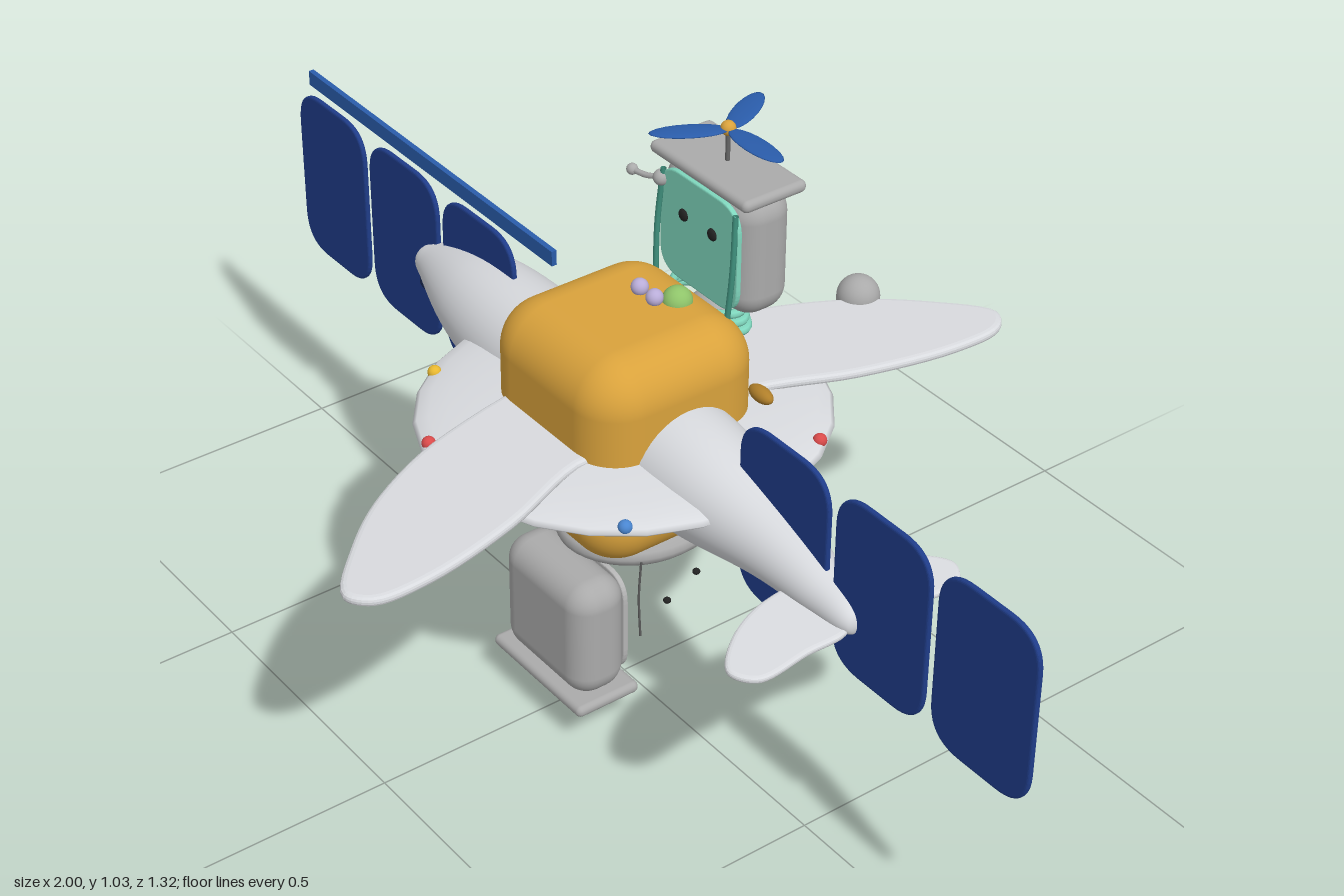
import * as THREE from 'three';
import { RoundedBoxGeometry } from 'three/addons/geometries/RoundedBoxGeometry.js';

const mats = {};
const mat = (c = 0xcccccc) => (mats[c] ??= new THREE.MeshStandardMaterial({ color: c, side: THREE.DoubleSide }));
const GOLD = 0xd9a23c, BLUE = 0x1f3c88, BAR = 0x2a5caa, TEAL = 0x7fd6bd, DARKTEAL = 0x3f8f7c,
  DARK = 0x222222, RED = 0xd94a4a, GREY = 0xaaaaaa, PALE = 0xd8dade;
const V = (x, y, z) => new THREE.Vector3(x, y, z);

function add(parent, name, geo, color, x = 0, y = 0, z = 0) {
  const m = new THREE.Mesh(geo, mat(color));
  m.name = name;
  m.position.set(x, y, z);
  parent.add(m);
  return m;
}
function ball(parent, name, color, r, x, y, z, sx = 1, sy = 1, sz = 1) {
  const m = add(parent, name, new THREE.SphereGeometry(r, 24, 16), color, x, y, z);
  m.scale.set(sx, sy, sz);
  return m;
}
function tube(parent, name, color, r, pts) {
  const curve = new THREE.CatmullRomCurve3(pts.map(p => V(...p)));
  return add(parent, name, new THREE.TubeGeometry(curve, pts.length * 8, r, 8), color);
}
function roundRect(w, h, r) {
  const s = new THREE.Shape(), a = w / 2, b = h / 2;
  s.moveTo(-a + r, -b);
  s.lineTo(a - r, -b); s.quadraticCurveTo(a, -b, a, -b + r);
  s.lineTo(a, b - r); s.quadraticCurveTo(a, b, a - r, b);
  s.lineTo(-a + r, b); s.quadraticCurveTo(-a, b, -a, b - r);
  s.lineTo(-a, -b + r); s.quadraticCurveTo(-a, -b, -a + r, -b);
  return s;
}
// Flat plate from a shape, centred on its thickness
function plate(shape, t, bevel) {
  const g = new THREE.ExtrudeGeometry(shape, {
    depth: t, bevelThickness: bevel, bevelSize: bevel * 1.5, bevelOffset: -bevel * 1.5, bevelSegments: 3, curveSegments: 10 });
  return g.translate(0, 0, -t / 2);
}
// Fin lying flat: outline in x and z
function fin(pts, t, bevel) {
  const curve = new THREE.CatmullRomCurve3(pts.map(p => V(p[0], p[1], 0)), true);
  const shape = new THREE.Shape(curve.getPoints(60).map(p => new THREE.Vector2(p.x, p.y)));
  return plate(shape, t, bevel).rotateX(Math.PI / 2);
}

// Box-headed robot: cap and mast up, face towards +z
function robot(name, faceColor) {
  const g = new THREE.Group();
  g.name = name;
  add(g, 'head', new RoundedBoxGeometry(0.236, 0.228, 0.108, 5, 0.045), GREY);
  add(g, 'cap', new RoundedBoxGeometry(0.256, 0.022, 0.128, 4, 0.0105), GREY, 0, 0.118, 0);
  add(g, 'mast', new THREE.CylinderGeometry(0.004, 0.004, 0.07, 10), 0x666666, 0, 0.16, 0);
  add(g, 'face', plate(roundRect(0.205, 0.2, 0.05), 0.006, 0.002), faceColor, 0, 0, 0.053);
  for (const s of [-1, 1]) ball(g, 'eye', DARK, 0.011, s * 0.038, 0.028, 0.059, 1, 1, 0.5);
  tube(g, 'antennaArm', GREY, 0.005, [[-0.1, 0.07, 0.055], [-0.13, 0.062, 0.065], [-0.16, 0.06, 0.07]]);
  ball(g, 'antennaJoint', GREY, 0.014, -0.1, 0.07, 0.058);
  ball(g, 'antennaTip', GREY, 0.01, -0.163, 0.06, 0.07);
  return g;
}

export function createModel() {
  const model = new THREE.Group();

  // Central body
  add(model, 'body', new RoundedBoxGeometry(0.346, 0.395, 0.334, 8, 0.085), GOLD, 0, 0.557, 0);

  // Saucer with rim lights
  ball(model, 'saucer', PALE, 1, 0, 0.555, 0, 0.345, 0.035, 0.352);
  const lights = [RED, 0xe8b830, 0x4a86d0];
  for (let i = 0; i < 10; i++) {
    const a = (108 + i * 36) * Math.PI / 180;
    ball(model, 'rimLight', lights[i % 3], 0.012, 0.332 * Math.cos(a), 0.563, 0.335 * Math.sin(a));
  }

  // Fuselage: x, centre height, radius
  const stations = [[-0.6, 0.555, 0], [-0.595, 0.555, 0.02], [-0.55, 0.562, 0.042], [-0.41, 0.558, 0.088],
    [-0.2, 0.542, 0.109], [0.1, 0.542, 0.109], [0.25, 0.542, 0.098], [0.4, 0.53, 0.067], [0.53, 0.506, 0.042],
    [0.6, 0.492, 0.022], [0.61, 0.49, 0]];
  const spine = new THREE.CatmullRomCurve3(stations.map(s => V(...s)), false, 'centripetal').getPoints(70);
  const hull = new THREE.LatheGeometry(spine.map(p => new THREE.Vector2(Math.max(0, p.z), p.x)), 40);
  hull.rotateZ(-Math.PI / 2);
  const pos = hull.attributes.position;
  for (let i = 0; i < pos.count; i++) pos.setY(i, pos.getY(i) + spine[i % spine.length].y);
  add(model, 'fuselage', hull, PALE);
  for (const s of [-1, 1]) ball(model, 'fuselageEye', 0x1c2c55, 0.016, -0.545, 0.535, s * 0.026, 1.4, 1, 0.8);

  // Wings and tail flukes, mirrored across z
  const wing = [[-0.1, 0.05], [-0.08, 0.3], [0, 0.48], [0.09, 0.59], [0.18, 0.66], [0.22, 0.63], [0.225, 0.53],
    [0.185, 0.35], [0.12, 0.18], [0.12, 0.05]];
  const fluke = [[0.48, 0.01], [0.475, 0.08], [0.51, 0.17], [0.57, 0.228], [0.61, 0.2], [0.605, 0.1], [0.595, 0.01]];
  for (const s of [-1, 1]) {
    const side = pts => pts.map(([x, z]) => [x, s * z]);
    add(model, 'wing', fin(side(wing), 0.004, 0.007), PALE, 0, 0.583, 0);
    const f = add(model, 'tailFluke', fin(side(fluke), 0.003, 0.005), PALE, 0, 0.485, 0);
    f.geometry.translate(-0.54, 0, 0).rotateZ(-0.1).translate(0.54, 0, 0);
  }

  // Solar panels with thin seams at the back
  const panel = plate(roundRect(0.218, 0.33, 0.07), 0.004, 0.003);
  for (const s of [-1, 1]) for (const x of [0.42, 0.655, 0.89]) {
    add(model, 'solarPanel', panel, BLUE, s * x, 0.555, 0);
    add(model, 'panelSeam', new THREE.BoxGeometry(0.003, 0.32, 0.002), 0x16264f, s * x, 0.555, -0.005);
    add(model, 'panelSeam', new THREE.BoxGeometry(0.21, 0.003, 0.002), 0x16264f, s * x, 0.555, -0.005);
  }
  const bar = add(model, 'panelBar', new THREE.BoxGeometry(0.76, 0.028, 0.01), BAR, -0.575, 0.754, 0);
  bar.rotation.z = -0.008;

  // Upper robot with propeller
  const top = robot('upperRobot', TEAL);
  top.position.set(0, 0.83, -0.207);
  model.add(top);
  ball(top, 'propellerHub', GOLD, 0.013, 0, 0.188, 0);
  for (let i = 0; i < 3; i++) {
    const blade = add(top, 'propellerBlade', new THREE.SphereGeometry(1, 20, 10).translate(1, 0, 0), BAR, 0.005, 0.188, 0);
    blade.scale.set(0.066, 0.004, 0.022);
    blade.rotation.set(0, i * Math.PI * 2 / 3, 0);
  }

  // Coiled neck and cords
  for (let i = 0; i < 3; i++) {
    const coil = add(model, 'neckCoil', new THREE.TorusGeometry(0.07, 0.008, 8, 32).rotateX(Math.PI / 2), TEAL,
      0, 0.693 + i * 0.013, -0.172);
    coil.scale.set(1.3 - i * 0.1, 1, 0.62);
  }
  ball(model, 'neckBase', GREY, 0.03, 0, 0.69, -0.175, 1.4, 0.8, 0.8);
  for (const s of [-1, 1])
    tube(model, 'neckCord', DARKTEAL, 0.005, [[s * 0.095, 0.92, -0.15], [s * 0.1, 0.82, -0.142], [s * 0.095, 0.71, -0.135]]);

  // Lower robot hangs upside down and faces back
  const low = robot('lowerRobot', 0xb4b4b4);
  low.position.set(0, 0.194, 0.125);
  low.rotation.x = Math.PI;
  model.add(low);
  tube(low, 'mouth', DARK, 0.004, [[-0.035, -0.03, 0.06], [0, -0.05, 0.06], [0.035, -0.03, 0.06]]);
  for (const s of [-1, 1])
    tube(low, 'brow', DARK, 0.005, [[s * 0.02, 0.052, 0.059], [s * 0.04, 0.064, 0.06], [s * 0.06, 0.055, 0.059]]);
  ball(low, 'antennaKnob', 0x9a6a3a, 0.012, -0.163, 0.06, 0.07);

  // Plate under the body with lens and hanging cords
  const rim = [[0, -0.02], [0.1, -0.022], [0.135, -0.02], [0.147, -0.01], [0.15, 0], [0.147, 0.012], [0.135, 0.022],
    [0.1, 0.025], [0, 0.025]];
  const dish = add(model, 'lowerDish', new THREE.LatheGeometry(rim.map(p => new THREE.Vector2(...p)), 40), GREY, 0, 0.331, -0.03);
  dish.scale.x = 0.87;
  const ring = add(model, 'dishRing', new THREE.TorusGeometry(0.085, 0.005, 8, 36).rotateX(Math.PI / 2), 0x5f86a0, 0, 0.31, -0.03);
  ring.scale.x = 0.87;
  ball(model, 'lens', 0xb9ccd6, 0.037, 0, 0.298, 0);
  for (const s of [-1, 1])
    tube(model, 'hangingCord', 0x555555, 0.002, [[s * 0.115, 0.33, 0.05], [s * 0.125, 0.27, 0.062], [s * 0.14, 0.2, 0.07]]);

  // Trinkets on the roof
  ball(model, 'greenBead', 0x8fc46a, 0.026, 0.03, 0.752, -0.085);
  for (const x of [-0.025, 0.015]) ball(model, 'lilacBead', 0xb9add8, 0.015, x, 0.764, -0.05);

  // Back ornaments: scrolls, knob and a hanging red ball
  for (const [x, y, s] of [[-0.07, 0.48, 1], [0.05, 0.47, -1], [0, 0.6, 1]]) {
    const pts = [];
    for (let i = 0; i <= 9; i++) {
      const a = i * 0.75, r = 0.038 - i * 0.0032;
      pts.push([x + s * r * Math.cos(a), y + r * Math.sin(a), -0.168]);
    }
    tube(model, 'backScroll', GOLD, 0.008, pts);
  }
  ball(model, 'sideKnob', 0xb07f2a, 0.014, 0.15, 0.6, -0.168, 2, 1, 1);
  tube(model, 'ballCord', GOLD, 0.006, [[0.13, 0.48, -0.155], [0.145, 0.44, -0.168], [0.146, 0.39, -0.165]]);
  ball(model, 'redBall', RED, 0.014, 0.146, 0.382, -0.165);

  // Floating pieces behind the body
  add(model, 'floatingCapsule', new THREE.CapsuleGeometry(0.038, 0.066, 10, 28), GREY, 0, 0.555, -0.502);
  tube(model, 'floatingStick', 0x777777, 0.003, [[0, 0.33, -0.22], [0, 0.3, -0.255], [0, 0.27, -0.292]]);
  ball(model, 'floatingBit', DARK, 0.007, 0.06, 0.204, -0.11, 1, 0.8, 1);
  ball(model, 'floatingBit', DARK, 0.007, 0.05, 0.16, -0.055, 1, 0.8, 1);

  return model;
}
